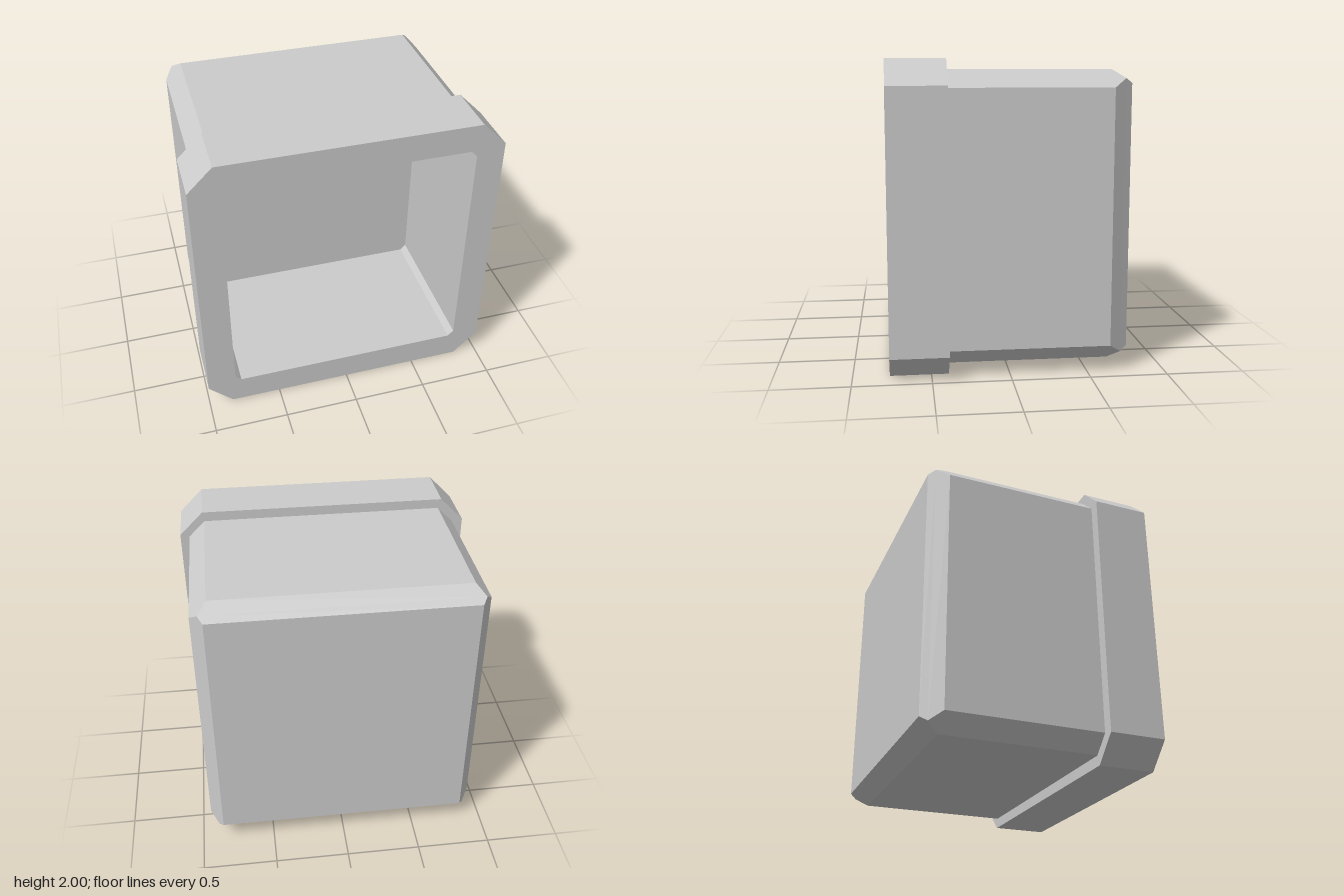
import * as THREE from 'three';

// Square ring with cut corners, counter-clockwise seen from +z
function ring(half, cut, z, cx = 0, cy = 1) {
  const h = half, k = half - cut;
  return [[h, -k], [h, k], [k, h], [-k, h], [-h, k], [-h, -k], [-k, -h], [k, -h]]
    .map(([x, y]) => new THREE.Vector3(cx + x, cy + y, z));
}

// Skin joining consecutive rings; triangles with coincident corners are dropped
function loft(name, rings) {
  const points = [];
  const tri = (a, b, c) => {
    if (new THREE.Triangle(a, b, c).getArea() > 1e-7) points.push(a, b, c);
  };
  for (let r = 0; r < rings.length - 1; r++) {
    const a = rings[r], b = rings[r + 1];
    for (let i = 0; i < a.length; i++) {
      const j = (i + 1) % a.length;
      tri(a[i], b[i], b[j]);
      tri(a[i], b[j], a[j]);
    }
  }
  const geometry = new THREE.BufferGeometry().setFromPoints(points);
  geometry.computeVertexNormals();
  const mesh = new THREE.Mesh(geometry, new THREE.MeshStandardMaterial({ color: 0xcccccc, flatShading: true }));
  mesh.name = name;
  return mesh;
}

export function createModel() {
  const group = new THREE.Group();
  group.name = 'openBox';

  const front = 0.765, step = 0.39, floor = -0.245, bevel = -0.64, back = -0.765;
  const cavity = (z) => ring(0.81, 0.04, z, 0.003);
  const rim = (z) => ring(0.998, 0.162, z, 0, 0.998);
  const body = (z) => ring(0.93, 0.11, z, 0.005);

  // Recess: flat floor, then walls out to the opening
  group.add(loft('cavity', [ring(0, 0, floor, 0.003), cavity(floor), cavity(step), cavity(front)]));

  // Thick collar: front face, outer side and the step behind it
  group.add(loft('rim', [cavity(front), rim(front), rim(step), body(step)]));

  // Housing: corner cuts narrow to a point within the rear bevel, square back
  group.add(loft('housing', [
    body(step), body(bevel),
    ring(0.876, 0, -0.72, 0.005),
    ring(0.846, 0, back, 0.005),
    ring(0, 0, back, 0.005),
  ]));

  return group;
}
